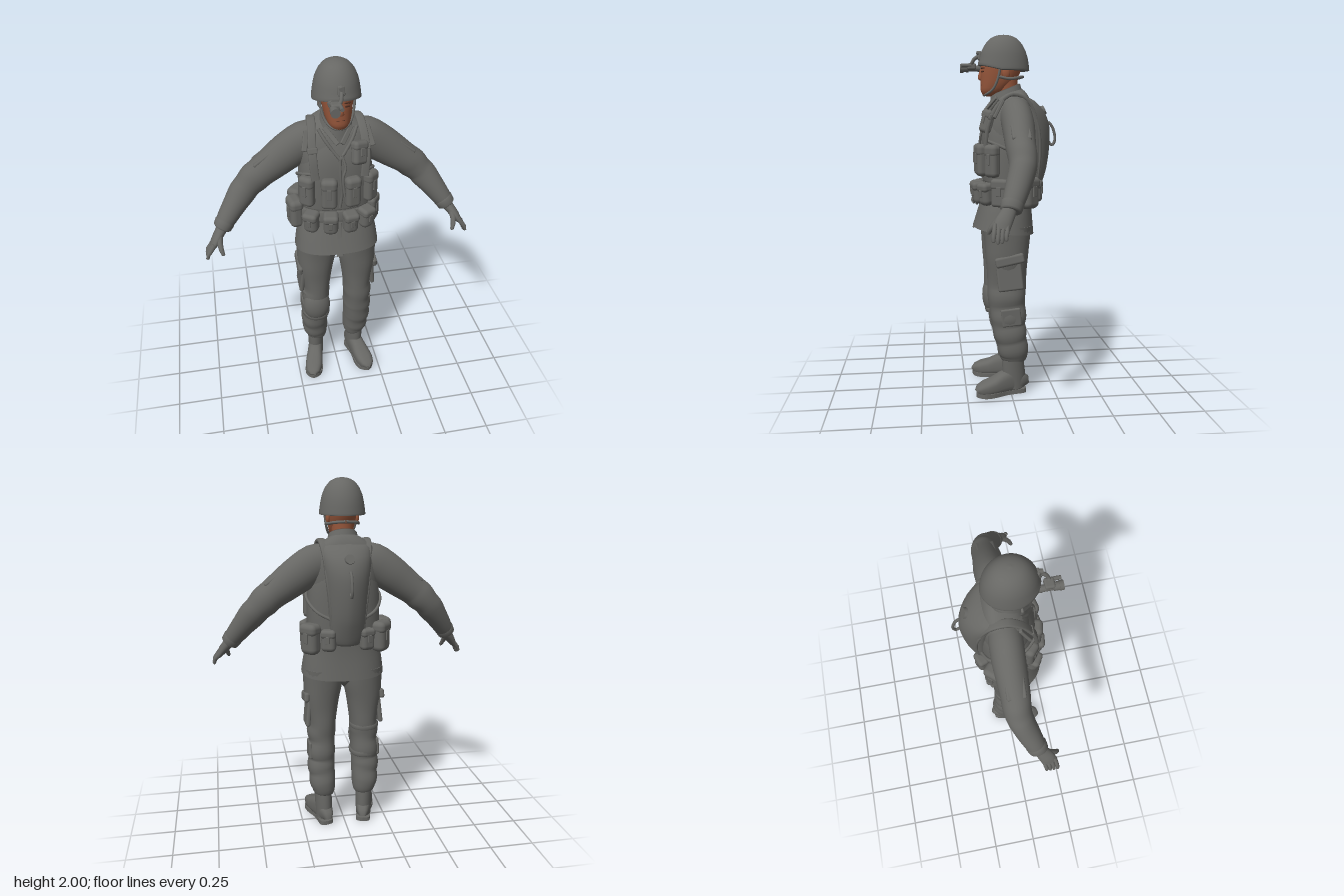
import * as THREE from 'three';
import { RoundedBoxGeometry } from 'three/addons/geometries/RoundedBoxGeometry.js';

const mat = (name, color) => Object.assign(new THREE.MeshStandardMaterial({ color }), { name });
const V = (x, y, z) => new THREE.Vector3(x, y, z);
const X = V(1, 0, 0), Y = V(0, 1, 0), Z = V(0, 0, 1);

// Closed loft through sections [x, y, z, radiusU, radiusV]; radiusV lies along ref, p squares the ring.
function loft(secs, { ref = Z, p = 2, n = 28, smooth = 0, flat = false } = {}) {
  if (smooth) {
    const pos = new THREE.CatmullRomCurve3(secs.map(s => V(s[0], s[1], s[2])));
    const rad = new THREE.CatmullRomCurve3(secs.map(s => V(s[3], s[4], 0)));
    const out = [], m = (secs.length - 1) * smooth;
    for (let i = 0; i <= m; i++) {
      const a = pos.getPoint(i / m), b = rad.getPoint(i / m);
      out.push([a.x, a.y, a.z, b.x, b.y]);
    }
    secs = out;
  }
  const c = secs.map(s => V(s[0], s[1], s[2])), verts = [], idx = [];
  const root = k => Math.sign(k) * Math.abs(k) ** (2 / p);
  const ring = i => {
    const t = flat ? Y : c[Math.min(i + 1, c.length - 1)].clone().sub(c[Math.max(i - 1, 0)]).normalize();
    const v = ref.clone().addScaledVector(t, -ref.dot(t)).normalize(), u = v.clone().cross(t);
    for (let j = 0; j < n; j++) {
      const a = j / n * Math.PI * 2;
      verts.push(...c[i].clone().addScaledVector(u, root(Math.cos(a)) * secs[i][3])
        .addScaledVector(v, root(Math.sin(a)) * secs[i][4]).toArray());
    }
  };
  c.forEach((_, i) => ring(i));
  for (let i = 0; i < c.length - 1; i++) for (let j = 0; j < n; j++) {
    const a = i * n + j, b = i * n + (j + 1) % n;
    idx.push(a, b, a + n, b, b + n, a + n);
  }
  for (const end of [0, c.length - 1]) {
    const base = verts.length / 3;
    ring(end);
    verts.push(...c[end].toArray());
    for (let j = 0; j < n; j++) {
      const a = base + j, b = base + (j + 1) % n;
      idx.push(base + n, ...(end ? [a, b] : [b, a]));
    }
  }
  const g = new THREE.BufferGeometry();
  g.setAttribute('position', new THREE.Float32BufferAttribute(verts, 3));
  g.setIndex(idx);
  g.computeVertexNormals();
  return g;
}

export function createModel() {
  const root = new THREE.Group();
  root.name = 'soldier';
  const cloth = mat('fieldGrey', 0x676764), skin = mat('skin', 0x94553a), dark = mat('darkBrown', 0x4a2c20);
  const add = (name, geo, m = cloth, at = [0, 0, 0], rot = [0, 0, 0], parent = root) => {
    const mesh = new THREE.Mesh(geo, m);
    mesh.name = name;
    mesh.position.set(...at);
    mesh.rotation.set(...rot);
    parent.add(mesh);
    return mesh;
  };
  const box = (w, h, d, r = 0.3) => new RoundedBoxGeometry(w, h, d, 3, Math.min(w, h, d) * r);
  const tube = (pts, r, seg = 24) => new THREE.TubeGeometry(new THREE.CatmullRomCurve3(pts.map(q => V(...q))), seg, r, 8);

  // Jacket, collar and hem
  add('jacket', loft([[0, .93, .03, .235, .17], [0, 1.02, .02, .222, .152], [0, 1.1, .01, .205, .138],
    [0, 1.2, 0, .195, .13], [0, 1.35, 0, .192, .135], [0, 1.48, -.005, .195, .135], [0, 1.57, -.015, .193, .122],
    [0, 1.635, -.02, .168, .102], [0, 1.67, -.015, .115, .085], [0, 1.69, -.01, .08, .07]], { p: 2.4, n: 40, smooth: 3 }));
  add('jacketPlacket', loft([[-.01, .935, .198, .018, .004], [-.01, 1.02, .171, .018, .004], [-.01, 1.12, .147, .018, .004]], { p: 4 }));
  const collar = loft([[0, 1.62, .01, .105, .1], [0, 1.66, .012, .088, .09], [0, 1.705, .015, .078, .082], [0, 1.71, .015, .072, .076], [0, 1.69, .015, .06, .062]],
    { flat: true });
  const cp = collar.attributes.position;
  for (let i = 0; i < cp.count; i++) cp.setY(i, cp.getY(i) - (cp.getZ(i) - .01) * .4);
  collar.computeVertexNormals();
  add('collar', collar);
  for (const s of [-1, 1])
    add('collarFlap', box(.025, .11, .014), cloth, [s * .04, 1.625, .1], [-.5, s * .3, -s * .6]);

  // Load vest with a V neck
  add('vest', loft([[0, 1.2, 0, .199, .138], [0, 1.21, 0, .204, .143], [0, 1.35, 0, .201, .147], [0, 1.45, 0, .192, .148],
    [0, 1.53, -.008, .17, .136], [0, 1.6, -.018, .14, .107]], { p: 2.4, n: 40 }));
  add('vestSeam', tube([[0, 1.51, .137], [0, 1.4, .148], [.008, 1.3, .147], [0, 1.22, .142]], .008));
  add('hangingCord', tube([[.01, 1.53, .135], [.025, 1.46, .155], [.012, 1.41, .16], [.02, 1.3, .165]], .007));
  for (const s of [-1, 1]) {
    add('vestNeckEdge', tube([[s * .1, 1.65, .06], [s * .07, 1.6, .098], [s * .035, 1.55, .12], [0, 1.505, .137]], .009));
    add('shoulderStrap', loft([[.13, 1.4, .138], [.138, 1.5, .126], [.138, 1.58, .094], [.132, 1.64, .05], [.125, 1.675, -.01],
      [.118, 1.65, -.085], [.105, 1.56, -.135], [.09, 1.45, -.15]].map(q => [s * q[0], q[1], q[2], .01, .022]),
      { ref: X, p: 4, smooth: 3, n: 16 }));
    add('strapBuckle', box(.05, .03, .018), cloth, [s * .138, 1.555, .112], [-.4, 0, 0]);
    add('strapPad', box(.028, .11, .018), cloth, [s * .168, 1.595, .07], [-.5, 0, s * .2]);
    add('sideStrap', tube([[s * .13, 1.43, .135], [s * .19, 1.4, .06], [s * .205, 1.36, -.02], [s * .16, 1.3, -.11], [s * .08, 1.26, -.15]], .009));
  }

  // Pouches stand around the body at an angle measured from the front
  const pouch = (name, deg, y, w, h, d, rx = .197, rz = .138, lean = 0) => {
    const g = new THREE.Group(), a = deg * Math.PI / 180;
    g.name = name;
    g.position.set((rx + d * .4) * Math.sin(a), y, (rz + d * .4) * Math.cos(a));
    g.rotation.set(lean, Math.atan2(Math.sin(a) / rx, Math.cos(a) / rz), 0, 'YXZ');
    add(name + 'Body', box(w, h, d, .4), cloth, [0, 0, 0], [0, 0, 0], g);
    add(name + 'Flap', box(w * 1.05, h * .4, d * 1.06, .4), cloth, [0, h * .31, .002], [0, 0, 0], g);
    add(name + 'Tab', box(w * .28, h * .34, .01), cloth, [0, h * .06, d * .52], [0, 0, 0], g);
    root.add(g);
    return g;
  };
  for (const deg of [-50, -16, 17, 50]) pouch('magazinePouch', deg, 1.32, .084, .175, .06);
  add('belt', loft([[0, 1.13, .004, .209, .142], [0, 1.135, .004, .214, .147], [0, 1.185, .002, .21, .145], [0, 1.19, .002, .203, .138]], { p: 2.4, n: 40 }));
  for (const deg of [-42, -14, 13, 39]) pouch('beltPouch', deg, 1.14, .08, .122, .075, .2, .142, .08);
  for (const [deg, w, h, d] of [[-82, .11, .17, .075], [66, .1, .15, .045], [-122, .105, .17, .08], [122, .105, .17, .08],
    [152, .08, .12, .06], [-152, .08, .12, .06]]) pouch('hipPouch', deg, 1.15, w, h, d, .2, .14);
  const radio = pouch('chestPouch', 33, 1.53, .085, .125, .055, .165, .125, -.2);
  radio.rotation.z = -.15;

  // Water pack on the back
  add('backPack', loft([[0, 1.11, -.125, .03, .015], [0, 1.12, -.13, .07, .035], [0, 1.17, -.135, .092, .05], [0, 1.27, -.14, .102, .076],
    [0, 1.4, -.14, .112, .093], [0, 1.5, -.135, .122, .097], [0, 1.58, -.12, .13, .085], [0, 1.64, -.09, .13, .062], [0, 1.67, -.065, .1, .03]],
    { p: 1.75, smooth: 3, flat: true, n: 32 }));
  add('packCap', new THREE.CylinderGeometry(.026, .03, .025, 20), cloth, [0, 1.59, -.194], [-1.15, 0, 0]);
  add('packHose', tube([[0, 1.53, -.225], [0, 1.5, -.25], [0, 1.43, -.265], [0, 1.4, -.25], [0, 1.42, -.225]], .008));
  for (const s of [-1, 1])
    add('packPiping', tube([[s * .122, 1.62, -.1], [s * .115, 1.5, -.152], [s * .098, 1.35, -.165], [s * .085, 1.2, -.152]], .008));

  // Arms and gloved hands
  for (const s of [-1, 1]) {
    const L = (name, secs, o) => add(name, loft(secs.map(q => [s * q[0], ...q.slice(1)]), o));
    L('sleeve', [[.06, 1.575, -.02, .08, .075], [.16, 1.552, -.025, .104, .086], [.25, 1.495, -.027, .101, .085], [.33, 1.437, -.024, .092, .08],
      [.4, 1.385, -.022, .083, .076], [.435, 1.355, -.024, .084, .074], [.475, 1.315, -.02, .074, .07], [.5, 1.287, -.012, .075, .068],
      [.55, 1.225, .013, .064, .063], [.595, 1.165, .038, .055, .056], [.62, 1.13, .053, .047, .05]], { smooth: 3 });
    L('gloveCuff', [[.607, 1.15, .046, .046, .05], [.61, 1.146, .048, .054, .057], [.628, 1.118, .058, .05, .053], [.632, 1.112, .06, .04, .044]]);
    add('sleevePocket', box(.115, .022, .1, .45), cloth, [s * .388, 1.478, -.022], [0, 0, -s * .64]);
    L('palm', [[.62, 1.13, .06, .032, .034], [.645, 1.098, .077, .028, .038], [.672, 1.062, .1, .024, .042], [.692, 1.032, .11, .016, .038]], { smooth: 3 });
    for (let i = 0; i < 4; i++) {
      const z = .077 + i * .02, e = [.014, .004, 0, .008][i];
      L('finger', [[.677, 1.06, z, .014, .012], [.703, 1.025, z + .008, .013, .0115], [.717, .998 + e, z + .012, .011, .0105],
        [.722, .977 + e, z + .013, .009, .009], [.722, .972 + e, z + .013, .003, .003]], { n: 10 });
    }
    L('thumb', [[.645, 1.1, .095, .018, .018], [.65, 1.065, .13, .016, .016], [.645, 1.035, .155, .013, .013], [.637, 1.012, .166, .01, .01],
      [.634, 1.006, .167, .003, .003]], { n: 10 });
  }

  // Trousers with folds, cargo pockets and boots
  add('seat', loft([[0, .845, .015, .004, .05], [0, .875, .015, .03, .085], [0, .9, .015, .09, .105], [0, .96, .02, .2, .13]], { p: 2.3 }));
  for (const s of [-1, 1]) {
    add('trouserLeg', loft([[.113, .96, .02, .115, .135], [.115, .88, .02, .112, .126], [.122, .79, .022, .102, .118], [.122, .7, .022, .088, .11],
      [.122, .62, .022, .078, .108], [.127, .565, .024, .083, .105], [.125, .51, .02, .075, .1], [.13, .45, .013, .082, .101],
      [.128, .4, .012, .076, .092], [.132, .355, .004, .08, .093], [.127, .31, -.004, .075, .085], [.128, .265, -.012, .076, .087],
      [.122, .225, -.016, .069, .08], [.122, .195, -.014, .061, .07], [.123, .19, -.014, .05, .06]].map(q => [s * q[0], ...q.slice(1)]),
      { smooth: 3, p: 2.2 }));
    add('cargoPocket', box(.026, .17, .14, .45), cloth, [s * .205, .7, .015], [.1, 0, s * .1]);
    add('cargoFlap', box(.03, .055, .16, .45), cloth, [s * .217, .785, .015], [.2, 0, s * .1]);
    add('lowerPocket', box(.02, .1, .11, .45), cloth, [s * .198, .46, .005], [.1, 0, 0]);
    const boot = new THREE.Group();
    boot.name = 'boot';
    boot.position.set(s * .127, 0, 0);
    boot.rotation.y = s * .25;
    root.add(boot);
    add('bootShaft', loft([[0, .03, -.022, .044, .06], [0, .11, -.02, .047, .066], [0, .17, -.014, .048, .064], [0, .23, -.012, .05, .062]]), cloth, [0, 0, 0], [0, 0, 0], boot);
    add('bootFoot', loft([[-.082, .06, .022], [-.076, .09, .034], [-.05, .11, .042], [0, .14, .045], [.05, .12, .047], [.1, .095, .052],
      [.15, .08, .051], [.185, .062, .04], [.2, .04, .018]].map(([z, h, w]) => [0, h / 2 + .006, z, w, h / 2]),
      { ref: Y, p: 2.7 }), cloth, [0, 0, 0], [0, 0, 0], boot);
    const outline = new THREE.Shape(new THREE.SplineCurve([[0, -.09], [.034, -.08], [.042, -.05], [.039, .03], [.053, .11], [.046, .17], [0, .205],
      [-.046, .17], [-.053, .11], [-.039, .03], [-.042, -.05], [-.034, -.08], [0, -.09]].map(q => new THREE.Vector2(...q))).getPoints(48));
    add('bootSole', new THREE.ExtrudeGeometry(outline, { depth: .024, bevelEnabled: false }), cloth, [0, .024, 0], [Math.PI / 2, 0, 0], boot);
  }

  // Knee pad on the right knee
  add('kneePad', new THREE.SphereGeometry(1, 28, 18), cloth, [-.128, .51, .083]).scale.set(.08, .112, .058);
  for (const y of [.43, .595])
    add('kneeStrap', loft([[-.126, y - .016, .018, .076, .097], [-.126, y - .011, .018, .084, .105], [-.126, y + .011, .02, .084, .106], [-.126, y + .016, .02, .076, .097]], { p: 2.2 }));

  // Head
  add('neck', loft([[0, 1.6, 0, .062, .065], [0, 1.7, .01, .058, .062], [0, 1.8, .015, .062, .07]]), skin);
  add('head', loft([[0, 1.668, .1, .014, .02], [0, 1.675, .095, .038, .045], [0, 1.7, .08, .058, .072], [0, 1.74, .06, .07, .092],
    [0, 1.79, .045, .077, .108], [0, 1.84, .035, .08, .115], [0, 1.88, .03, .075, .105]], { smooth: 3, flat: true, p: 2.2 }), skin);
  add('nose', loft([[0, 1.754, .148, .009, .008], [0, 1.762, .153, .016, .015], [0, 1.78, .153, .012, .013], [0, 1.815, .147, .008, .008]], { n: 14, flat: true }), skin);
  add('mouth', box(.042, .005, .006), dark, [0, 1.728, .148]);
  for (const s of [-1, 1]) {
    add('eye', box(.026, .008, .008), dark, [s * .032, 1.8, .144], [0, s * .25, 0]);
    add('brow', box(.036, .006, .009), dark, [s * .033, 1.818, .144], [0, s * .25, 0]);
    add('ear', new THREE.SphereGeometry(1, 12, 10), skin, [s * .08, 1.79, .02]).scale.set(.012, .032, .022);
    add('chinStrap', tube([[s * .092, 1.83, .05], [s * .084, 1.76, .065], [s * .066, 1.705, .09], [s * .032, 1.678, .125], [0, 1.675, .135]], .007));
    add('napeStrap', tube([[s * .085, 1.77, .06], [s * .085, 1.76, .0], [s * .06, 1.77, -.06], [0, 1.775, -.082]], .008));
  }

  // Helmet, its front brim raised above the eyes
  const helmet = loft([[.118, 1.806, .135], [.125, 1.808, .142], [.123, 1.83, .14], [.117, 1.87, .134], [.108, 1.91, .122], [.09, 1.95, .101],
    [.064, 1.98, .073], [.034, 1.995, .04], [.004, 2, .005]].map(([r, y, d]) => [0, y, .025, r, d]), { n: 40, smooth: 2 });
  const hp = helmet.attributes.position;
  for (let i = 0; i < hp.count; i++)
    if (hp.getY(i) < 1.86) hp.setY(i, hp.getY(i) + Math.max(0, hp.getZ(i) - .05) * .25 * Math.min(1, (1.86 - hp.getY(i)) / .04));
  helmet.computeVertexNormals();
  add('helmet', helmet);

  // Night sight over the right eye
  add('sightMount', box(.036, .05, .025), cloth, [0, 1.885, .152], [-.2, 0, 0]);
  add('sightKnob', new THREE.CylinderGeometry(.012, .012, .025, 14), cloth, [0, 1.9, .162], [Math.PI / 2, 0, 0]);
  add('sightArm', tube([[0, 1.885, .16], [-.005, 1.87, .185], [-.015, 1.845, .2], [-.04, 1.835, .2]], .01));
  add('sightBody', box(.055, .036, .05), cloth, [-.035, 1.83, .2]);
  for (const [z, r, len] of [[.185, .017, .07], [.232, .021, .03], [.253, .024, .02], [.155, .019, .02]])
    add('sightTube', new THREE.CylinderGeometry(r, r, len, 18), cloth, [-.048, 1.822, z], [Math.PI / 2, 0, 0]);
  add('sightLamp', new THREE.CylinderGeometry(.01, .01, .055, 12), cloth, [-.015, 1.835, .23], [Math.PI / 2, 0, 0]);
  return root;
}
